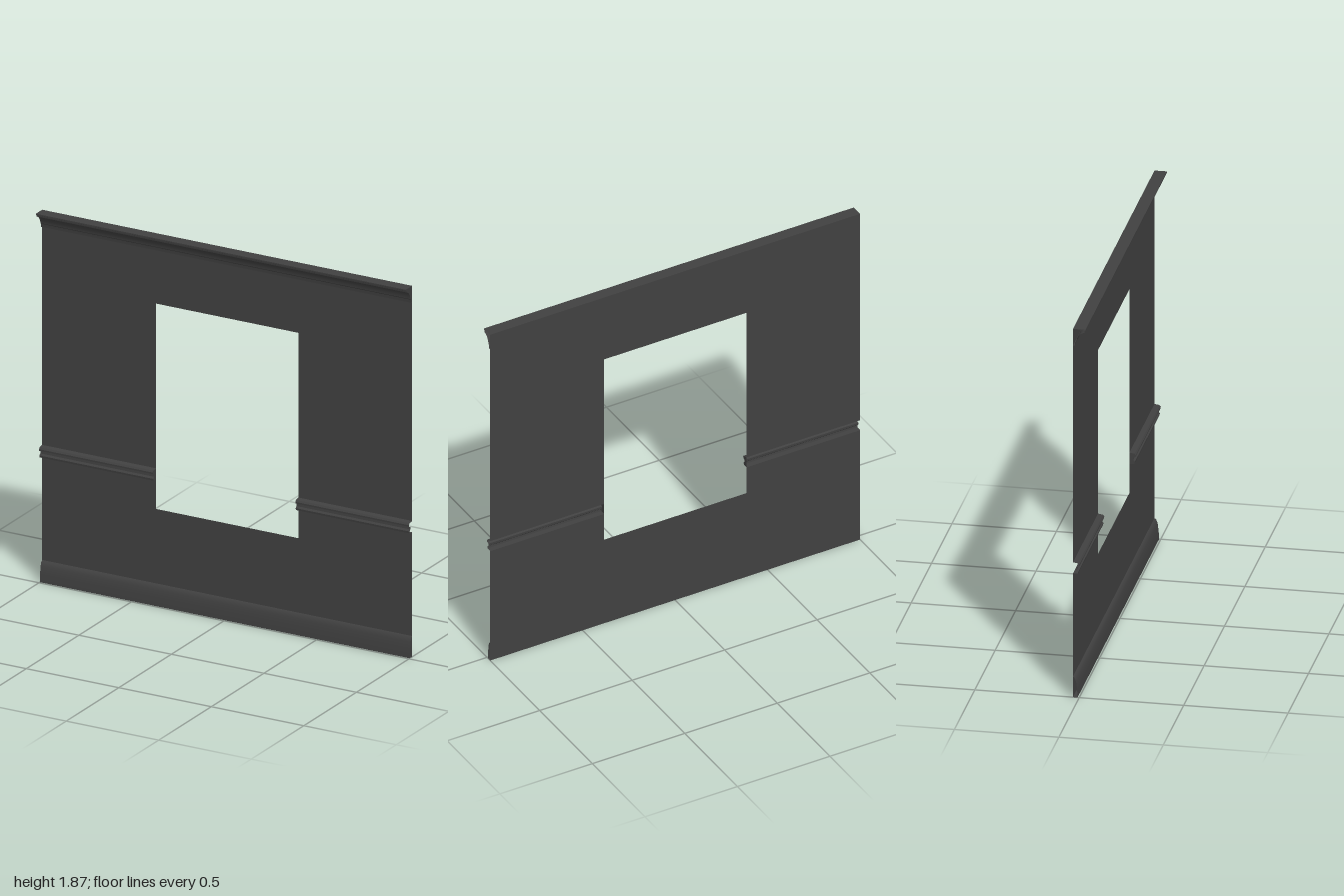
import * as THREE from 'three';
import { toCreasedNormals } from 'three/addons/utils/BufferGeometryUtils.js';

const BACK = -0.03;      // plane of the wall sheet
const OPEN_X = 0.385;    // half width of the opening
const OPEN_Y0 = 0.48, OPEN_Y1 = 1.515;
const RAIL_Y0 = 0.628, RAIL_Y1 = 0.685;
const TOP = 1.87;

// Profiles as [z, y], listed from bottom to top
const baseProfile = [[BACK, 0], [-0.008, 0], [-0.01, 0.04], [-0.015, 0.08], [-0.022, 0.098], [BACK, 0.105]];
const railProfile = [[BACK, RAIL_Y0], [-0.006, 0.63], [-0.004, 0.64], [-0.012, 0.648],
  [-0.013, 0.66], [-0.001, 0.665], [0, 0.673], [-0.006, 0.681], [BACK, RAIL_Y1]];
const crownProfile = [[BACK, 1.785], [-0.021, 1.787], [-0.019, 1.803], [-0.014, 1.808], [-0.01, 1.824],
  [0, 1.84], [0.014, 1.85], [0.024, 1.854], [0.026, 1.862], [0.03, 1.864], [0.03, TOP], [BACK, TOP]];

export function createModel() {
  const group = new THREE.Group();
  const material = new THREE.MeshStandardMaterial({ color: 0x404040, side: THREE.DoubleSide });

  const add = (name, geometry) => {
    const mesh = new THREE.Mesh(geometry, material);
    mesh.name = name;
    group.add(mesh);
    return mesh;
  };
  const shapeOf = points => new THREE.ShapeGeometry(
    new THREE.Shape(points.map(([x, y]) => new THREE.Vector2(x, y))));

  // Sweep a profile along x, with open ends
  const molding = (name, profile, x0, x1) => {
    const position = [];
    for (let i = 0; i < profile.length - 1; i++) {
      const [za, ya] = profile[i], [zb, yb] = profile[i + 1];
      position.push(x0, ya, za, x1, ya, za, x1, yb, zb);
      position.push(x0, ya, za, x1, yb, zb, x0, yb, zb);
    }
    const geometry = new THREE.BufferGeometry();
    geometry.setAttribute('position', new THREE.Float32BufferAttribute(position, 3));
    add(name, toCreasedNormals(geometry, 0.5));
  };

  // Wall sheet below and above the rail, around the opening
  add('lowerWall', shapeOf([[-1, 0], [1, 0], [1, RAIL_Y0], [OPEN_X, RAIL_Y0], [OPEN_X, OPEN_Y0],
    [-OPEN_X, OPEN_Y0], [-OPEN_X, RAIL_Y0], [-1, RAIL_Y0]])).position.z = BACK;
  add('upperWall', shapeOf([[-1, RAIL_Y1], [-OPEN_X, RAIL_Y1], [-OPEN_X, OPEN_Y1], [OPEN_X, OPEN_Y1],
    [OPEN_X, RAIL_Y1], [1, RAIL_Y1], [1, TOP], [-1, TOP]])).position.z = BACK;

  // Full-width moldings
  molding('baseboard', baseProfile, -1, 1);
  molding('crownMolding', crownProfile, -1, 1);

  // Chair rail on each side, capped where it meets the opening
  for (const [side, s] of [['left', 1], ['right', -1]]) {
    molding(side + 'ChairRail', railProfile, s > 0 ? OPEN_X : -1, s > 0 ? 1 : -OPEN_X);
    const cap = shapeOf(railProfile);
    cap.rotateY(-Math.PI / 2);
    add(side + 'ChairRailCap', cap).position.x = s * OPEN_X;
  }
  return group;
}
